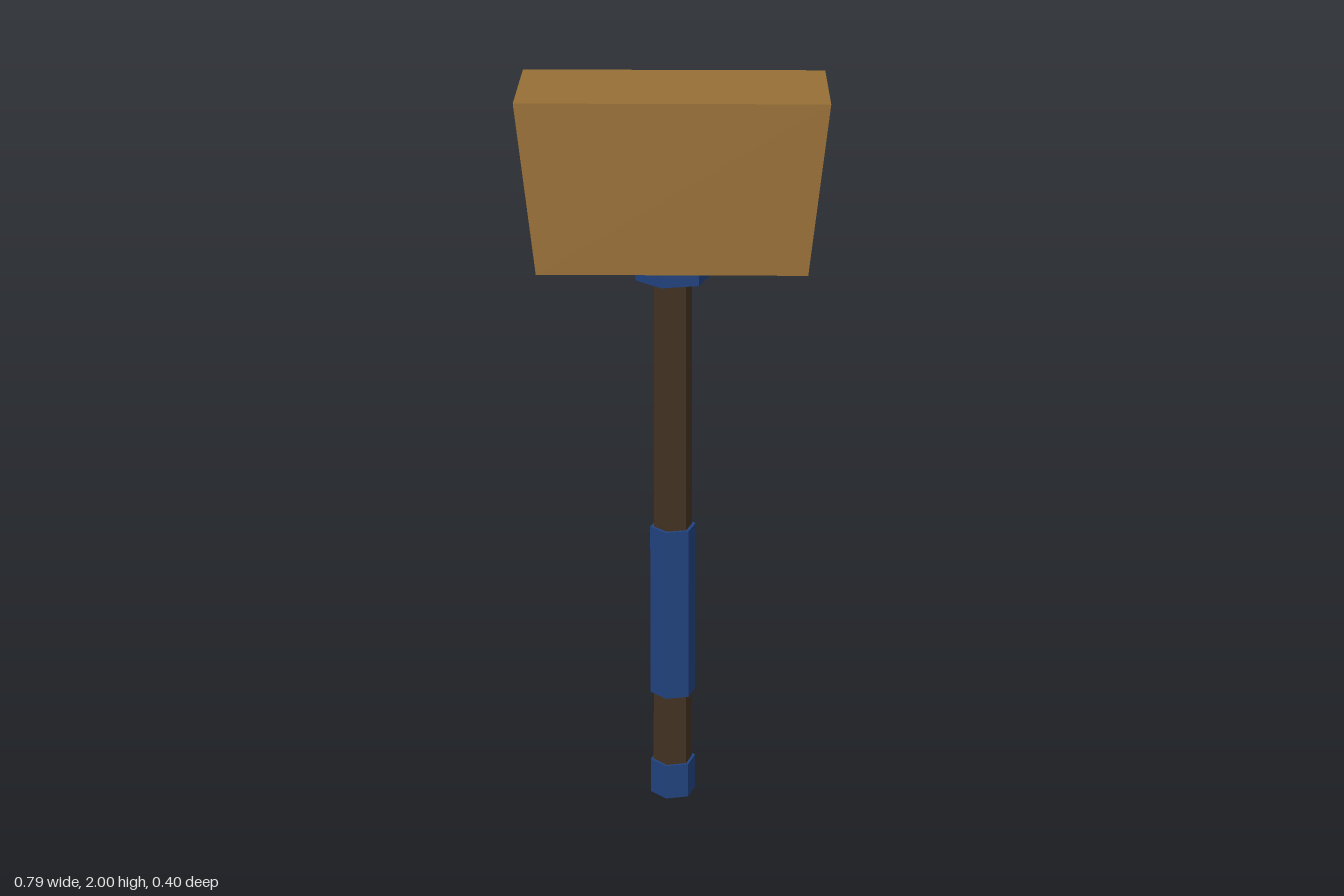
import * as THREE from 'three';

const SIDES = 6;
const TURN = THREE.MathUtils.degToRad(-17); // all shaft parts share one slight twist

const flat = (name, color) => {
  const m = new THREE.MeshStandardMaterial({ color, flatShading: true });
  m.name = name;
  return m;
};

export function createModel() {
  const group = new THREE.Group();
  group.name = 'mallet';
  const headWood = flat('light wood', 0x986f35);
  const shaftWood = flat('dark wood', 0x433222);
  const blue = flat('blue', 0x21437f);

  // Six-sided shaft section between two heights
  const section = (name, rTop, rBottom, y0, y1, material) => {
    const geometry = new THREE.CylinderGeometry(rTop, rBottom, y1 - y0, SIDES, 1, false, TURN);
    geometry.translate(0, (y0 + y1) / 2, 0);
    const mesh = new THREE.Mesh(geometry, material);
    mesh.name = name;
    group.add(mesh);
  };
  section('handle', 0.051, 0.055, 0.05, 1.52, shaftWood);
  section('pommel', 0.063, 0.063, 0, 0.1, blue);
  section('grip', 0.063, 0.063, 0.305, 0.795, blue);
  section('collar', 0.1, 0.1, 1.49, 1.56, blue);

  // Head: trapezoid, wider at the top, extruded front to back
  const outline = new THREE.Shape([
    new THREE.Vector2(-0.347, 1.556),
    new THREE.Vector2(0.347, 1.556),
    new THREE.Vector2(0.397, 2),
    new THREE.Vector2(-0.397, 2),
  ]);
  const headGeometry = new THREE.ExtrudeGeometry(outline, { depth: 0.4, bevelEnabled: false });
  headGeometry.translate(0, 0, -0.2);
  const head = new THREE.Mesh(headGeometry, headWood);
  head.name = 'head';
  group.add(head);

  return group;
}
